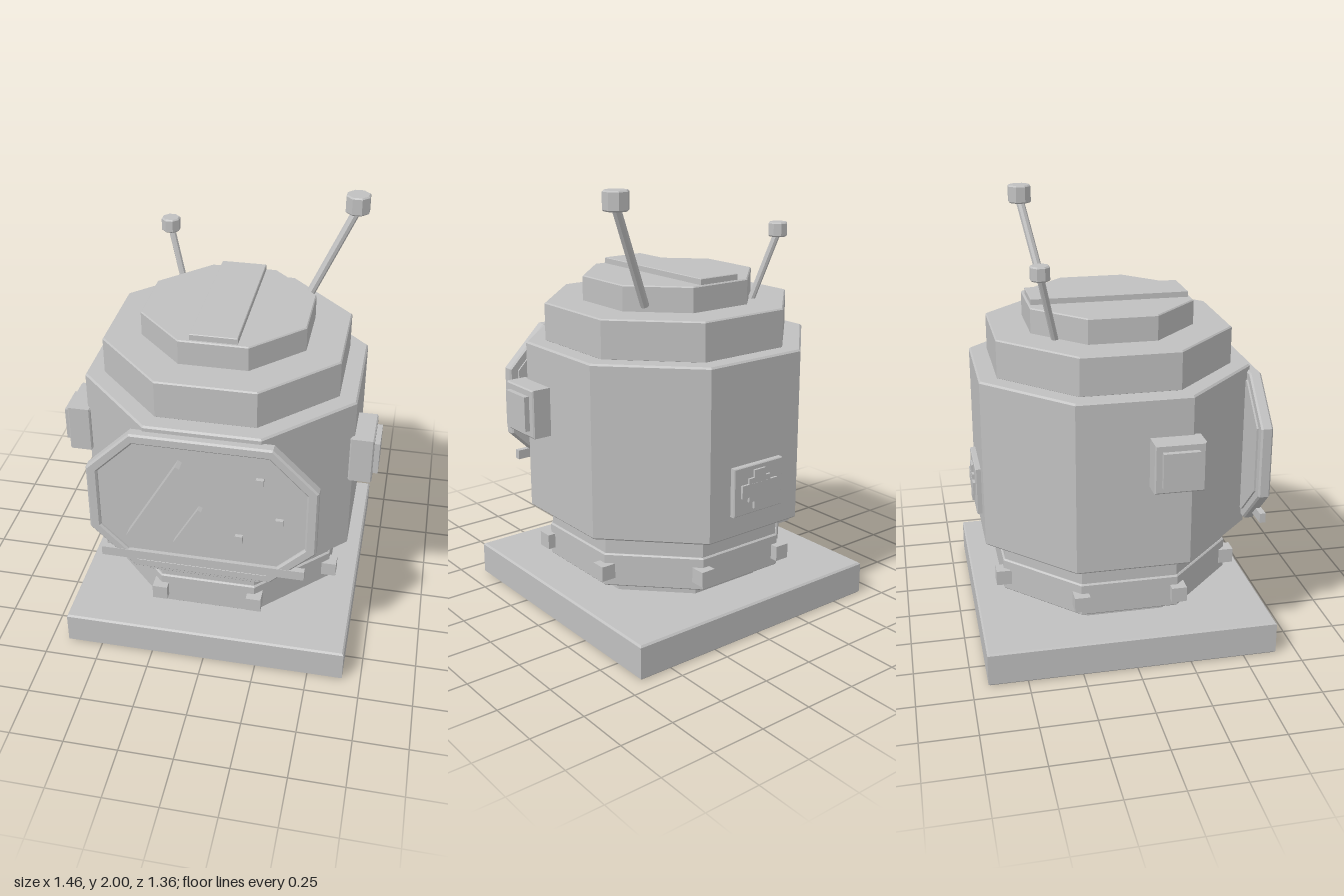
import * as THREE from 'three';

const grey = new THREE.MeshStandardMaterial({ color: 0xc0c0c0 });
grey.name = 'plain grey';
const MID = -0.013; // z of the body axis

// Rectangle with half sizes a, b
const rect = (a, b) => [[-a, -b], [a, -b], [a, b], [-a, b]];
// Rectangle with cut corners: c and d are the half lengths left on the flat sides
const cut = (a, b, c, d) => [[-c, -b], [c, -b], [a, -d], [a, d], [c, b], [-c, b], [-a, d], [-a, -d]];
const octagon = (r) => cut(r, r, r * 0.4142, r * 0.4142);

// Chamfered slab from z0 to z1, keeping the outline at full size
function slab(points, z0, z1, bevel = 0, hole = null) {
  const toVecs = (p) => p.map(([x, y]) => new THREE.Vector2(x, y));
  const shape = new THREE.Shape(toVecs(points));
  if (hole) shape.holes.push(new THREE.Path(toVecs(hole)));
  const geo = new THREE.ExtrudeGeometry(shape, {
    depth: z1 - z0 - 2 * bevel, bevelEnabled: bevel > 0,
    bevelThickness: bevel, bevelSize: bevel, bevelOffset: -bevel, bevelSegments: 1,
  });
  return geo.translate(0, 0, z0 + bevel);
}

// Upright slab from y0 to y1
const tier = (points, y0, y1, bevel) => slab(points, y0, y1, bevel).rotateX(-Math.PI / 2);

export function createModel() {
  const model = new THREE.Group();
  model.name = 'helmetOnStand';
  const add = (name, geo, x = 0, y = 0, z = 0) => {
    const mesh = new THREE.Mesh(geo, grey);
    mesh.name = name;
    mesh.position.set(x, y, z);
    model.add(mesh);
    return mesh;
  };

  // Stand and stacked octagonal tiers
  add('base', tier(rect(0.665, 0.665), 0, 0.16, 0.008), 0, 0, MID);
  const tiers = [
    ['foot', 0.428, 0.155, 0.235, 0],
    ['collar', 0.536, 0.23, 0.385, 0.006],
    ['neck', 0.527, 0.38, 0.49, 0],
    ['body', 0.617, 0.485, 1.28, 0.008],
    ['shoulder', 0.535, 1.275, 1.455, 0.006],
    ['cap', 0.372, 1.45, 1.57, 0.005],
  ];
  for (const [name, r, y0, y1, bevel] of tiers) add(name, tier(octagon(r), y0, y1, bevel), 0, 0, MID);
  add('capStrip', tier(rect(0.105, 0.36), 1.565, 1.598, 0.003), 0, 0, MID - 0.002);

  // Studs on the collar corners
  for (const [x, z] of octagon(0.538)) add('collarStud', new THREE.BoxGeometry(0.07, 0.07, 0.07), x, 0.305, z + MID);

  // Visor: frame, recessed glass, sill bar
  const outer = cut(0.51, 0.363, 0.31, 0.165);
  const inner = cut(0.46, 0.314, 0.295, 0.148);
  add('visorFrame', slab(outer, 0.586, 0.641, 0.008, inner), 0, 0.892, 0);
  add('visorGlass', slab(cut(0.465, 0.319, 0.3, 0.153), 0.578, 0.625), 0, 0.892, 0);
  add('visorBar', slab(rect(0.463, 0.023), 0.615, 0.643), 0, 0.597, 0);

  // Glints and specks on the glass
  add('longGlint', slab(rect(0.01, 0.235), 0.62, 0.678), -0.207, 0.934, 0).rotation.z = -0.52;
  add('shortGlint', slab(rect(0.009, 0.116), 0.62, 0.657), -0.06, 0.804, 0).rotation.z = -0.52;
  for (const [x, y] of [[0.257, 1.08], [0.345, 0.875], [0.168, 0.76]]) {
    add('glassSpeck', slab(rect(0.017, 0.017), 0.62, 0.643), x, y, 0);
  }

  // Side pods
  for (const s of [1, -1]) {
    add('sidePod', slab(rect(0.112, 0.112), 0.6, 0.707, 0.006), 0, 0.992, 0.164).rotation.y = s * Math.PI / 2;
    add('sidePodCover', slab(rect(0.08, 0.08), 0.7, 0.731), 0, 0.992, 0.164).rotation.y = s * Math.PI / 2;
  }

  // Back plate with a cross
  const back = [
    ['backPlate', 0.14, 0.112, 0.655, 0.004],
    ['crossBar', 0.102, 0.03, 0.666, 0],
    ['crossPost', 0.032, 0.09, 0.6655, 0],
    ['crossCentre', 0.062, 0.055, 0.665, 0],
  ];
  for (const [name, a, b, depth, bevel] of back) {
    add(name, slab(rect(a, b), 0.62, depth, bevel), 0, 0.702, 0).rotation.y = Math.PI;
  }

  // Antennas: leaning rod with an octagonal knob
  const antennas = [
    ['left', [0.31, 1.485, -0.245], [0.52, 1.93, -0.335], 0.02, 0.053, 1.915, 2.0],
    ['right', [-0.262, 1.45, -0.293], [-0.35, 1.76, -0.365], 0.016, 0.041, 1.74, 1.805],
  ];
  for (const [side, from, to, r, knobR, y0, y1] of antennas) {
    const a = new THREE.Vector3(...from), b = new THREE.Vector3(...to);
    const dir = b.clone().sub(a);
    const rod = add(side + 'AntennaRod', new THREE.CylinderGeometry(r, r, dir.length(), 8).toNonIndexed());
    rod.geometry.computeVertexNormals();
    rod.position.copy(a).add(b).multiplyScalar(0.5);
    rod.quaternion.setFromUnitVectors(new THREE.Vector3(0, 1, 0), dir.normalize());
    add(side + 'AntennaKnob', tier(octagon(knobR), y0, y1, 0.006), b.x, 0, b.z);
  }
  return model;
}
